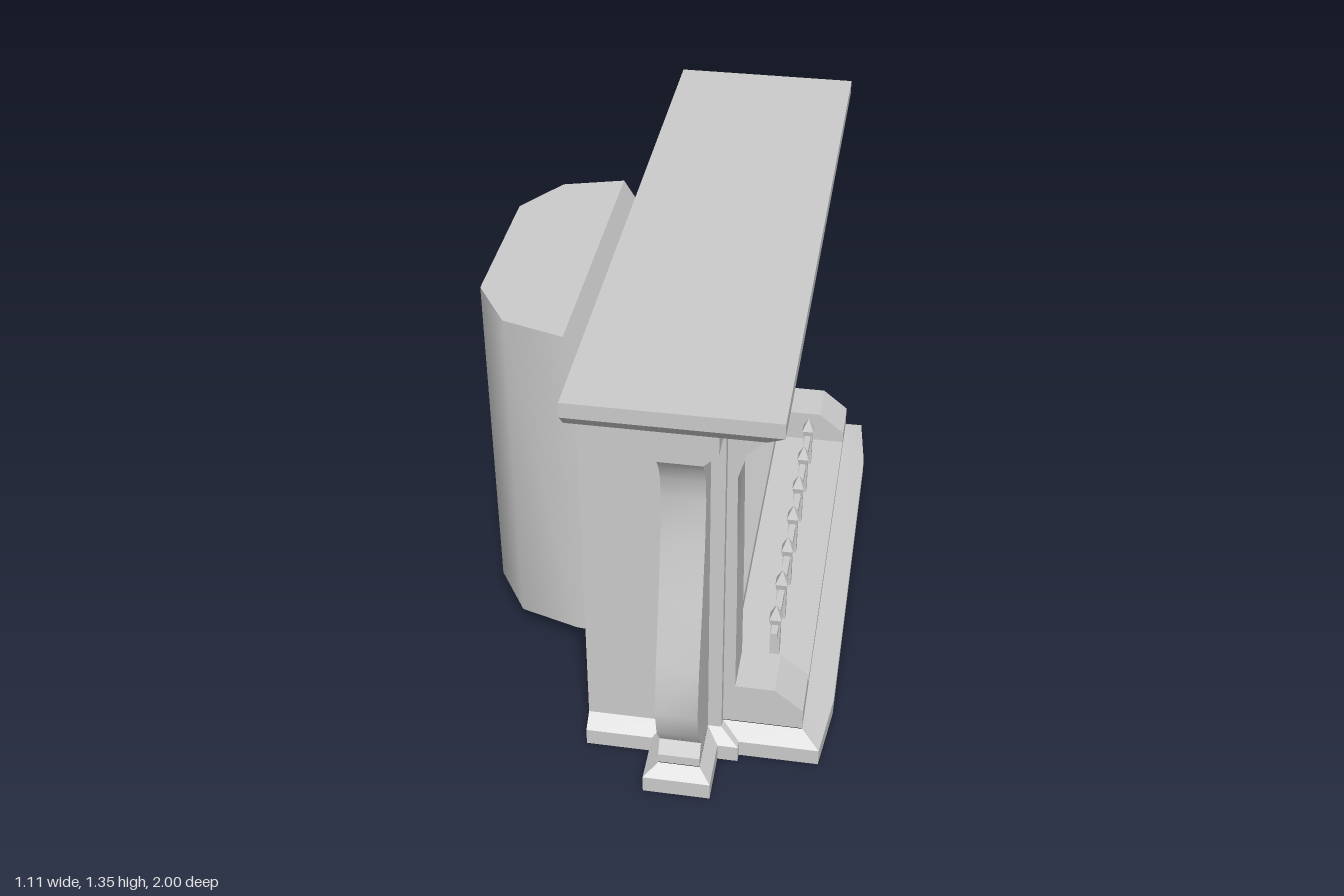
import * as THREE from 'three';
import { toCreasedNormals } from 'three/addons/utils/BufferGeometryUtils.js';

const material = new THREE.MeshStandardMaterial({ color: 0xcccccc, side: THREE.DoubleSide });

function add(parent, name, geometry) {
  const mesh = new THREE.Mesh(geometry, material);
  mesh.name = name;
  parent.add(mesh);
  return mesh;
}

// Box given by its limits
function box(x0, x1, y0, y1, z0, z1) {
  return new THREE.BoxGeometry(x1 - x0, y1 - y0, z1 - z0)
    .translate((x0 + x1) / 2, (y0 + y1) / 2, (z0 + z1) / 2);
}

// Skin between loops of [x, y, z] points; caps are fans, so convex loops only
function loft(loops, { closed = true, bottom = false, top = false, crease = 0.3 } = {}) {
  const pos = [];
  const tri = (a, b, c) => pos.push(...a, ...b, ...c);
  const n = loops[0].length;
  for (let k = 0; k < loops.length - 1; k++) {
    const [lo, hi] = [loops[k], loops[k + 1]];
    for (let i = 0; i < (closed ? n : n - 1); i++) {
      const j = (i + 1) % n;
      tri(lo[i], lo[j], hi[j]);
      tri(lo[i], hi[j], hi[i]);
    }
  }
  const last = loops[loops.length - 1];
  for (let i = 1; i < n - 1; i++) {
    if (bottom) tri(loops[0][0], loops[0][i + 1], loops[0][i]);
    if (top) tri(last[0], last[i], last[i + 1]);
  }
  const g = new THREE.BufferGeometry();
  g.setAttribute('position', new THREE.Float32BufferAttribute(pos, 3));
  g.computeVertexNormals();
  return toCreasedNormals(g, crease);
}

// Rectangle in plan at height y, counter-clockwise from above
const rect = (x0, x1, z0, z1, y) => [[x0, y, z1], [x1, y, z1], [x1, y, z0], [x0, y, z0]];
// Plan points [x, z] at height y
const level = (plan, y) => plan.map(([x, z]) => [x, y, z]);
// Half outline continued by its mirror image across z = 0
const mirrored = (half) => [...half, ...half.map(([a, b]) => [a, -b]).reverse()];

// Bracket: profile [outward, y] extruded over a width
function bracket(profile, width) {
  const shape = new THREE.Shape(profile.map(([u, v]) => new THREE.Vector2(u, v)));
  return toCreasedNormals(new THREE.ExtrudeGeometry(shape, { depth: width, bevelEnabled: false }), 0.5);
}

function createSide() {
  const side = new THREE.Group();

  // Thin wall folded around the corner post
  const wall = [[-0.157, 0.79], [0.24, 0.79], [0.24, 0.61]];
  add(side, 'sideWall', loft([level(wall, 0.085), level(wall, 1.255)], { closed: false }));

  // Front pilaster with its foot block and flared cap
  add(side, 'frontPilaster', bracket([
    [0.24, 0.09], [0.275, 0.09], [0.273, 0.6], [0.268, 1.0], [0.30, 1.11], [0.36, 1.16], [0.24, 1.16],
  ], 0.15).translate(0, 0, 0.61));
  add(side, 'pilasterFoot', bracket([
    [0.24, 0.09], [0.475, 0.09], [0.475, 0.16], [0.39, 0.23], [0.24, 0.23],
  ], 0.15).translate(0, 0, 0.61));
  add(side, 'frontCap', loft([
    rect(0.24, 0.36, 0.61, 0.76, 1.16), rect(0.24, 0.36, 0.57, 0.80, 1.2),
  ], { bottom: true, top: true }));

  // Curved side bracket with its flared cap
  add(side, 'sideBracket', bracket([
    [0.78, 0.09], [0.955, 0.09], [0.955, 0.12], [0.93, 0.16], [0.975, 0.23], [1.0, 0.33], [0.973, 0.49],
    [0.925, 0.68], [0.885, 0.86], [0.87, 1.0], [0.88, 1.07], [0.90, 1.12], [0.93, 1.16], [0.78, 1.16],
  ], 0.12).rotateY(-Math.PI / 2).translate(0.20, 0, 0));
  add(side, 'sideCap', loft([
    rect(0.08, 0.20, 0.79, 0.93, 1.16), rect(0.04, 0.24, 0.79, 0.93, 1.2), rect(0.04, 0.24, 0.79, 0.93, 1.255),
  ], { bottom: true, top: true }));
  return side;
}

export function createModel() {
  const model = new THREE.Group();
  model.name = 'fireplace';

  // Mantel shelf, bevelled below except along the back
  add(model, 'mantelShelf', loft([
    rect(-0.157, 0.36, -0.93, 0.93, 1.255),
    rect(-0.157, 0.408, -0.97, 0.97, 1.3),
    rect(-0.157, 0.408, -0.97, 0.97, 1.345),
  ], { bottom: true, top: true }));
  add(model, 'frieze', box(0.24, 0.36, 1.2, 1.255, -0.8, 0.8));

  // Both sides
  const left = createSide();
  left.name = 'leftSide';
  const right = createSide();
  right.name = 'rightSide';
  right.scale.z = -1;
  model.add(left, right);

  // Front panel with the arched opening, points as [y, z]
  const arch = [[0.16, 0.56], [0.9, 0.56], [0.98, 0.51], [1.08, 0.3], [1.115, 0]];
  const archLoop = [...arch, ...arch.slice(0, -1).map(([y, z]) => [y, -z]).reverse()];
  const panel = new THREE.Shape([[-0.61, 0.12], [0.61, 0.12], [0.61, 1.2], [-0.61, 1.2]]
    .map(([z, y]) => new THREE.Vector2(z, y)));
  panel.holes.push(new THREE.Path(archLoop.map(([y, z]) => new THREE.Vector2(z, y))));
  add(model, 'archPanel', new THREE.ShapeGeometry(panel).rotateY(Math.PI / 2).translate(0.24, 0, 0));

  // Splayed lining from the arch to the square mouth of the firebox
  add(model, 'archLining', loft([
    archLoop.map(([y, z]) => [0.24, y, z]),
    archLoop.map(([y, z]) => [0.13, y > 0.5 ? 0.94 : 0.1, THREE.MathUtils.clamp(z, -0.48, 0.48)]),
  ]));

  // Firebox: smooth wall, floor, low ceiling and sloped throat, open at the front
  const plan = mirrored([[0.13, 0.48], [-0.12, 0.468], [-0.265, 0.455], [-0.45, 0.4], [-0.555, 0.24]]);
  const rim = plan.map(([x, z]) => [x, x > -0.2 ? 0.94 : 1.19, z]);
  add(model, 'fireboxWall', loft([level(plan, 0.1), rim], { closed: false, crease: 0.8 }));
  add(model, 'fireboxFloor', loft([level(plan, 0.1)], { bottom: true }));
  add(model, 'fireboxTop', loft([rim.slice(2, -2)], { top: true }));
  add(model, 'fireboxThroat', loft([0, 1, 2].map((i) => [rim[i], rim[9 - i]]), { closed: false }));

  // Base moulding following the plan of the walls and brackets
  const lower = mirrored([[-0.157, 0.835], [0.04, 0.835], [0.04, 0.99], [0.235, 0.99], [0.235, 0.835],
    [0.295, 0.835], [0.295, 0.81], [0.53, 0.81], [0.555, 0.6]]);
  const upper = mirrored([[-0.157, 0.79], [0.08, 0.79], [0.08, 0.955], [0.2, 0.955], [0.2, 0.79],
    [0.24, 0.79], [0.24, 0.76], [0.475, 0.76], [0.475, 0.6]]);
  add(model, 'baseMoulding', loft([level(lower, 0), level(lower, 0.055), level(upper, 0.088)], { closed: false }));

  // Raised hearth plate, hollow underneath
  add(model, 'hearth', loft([
    rect(0.24, 0.475, -0.61, 0.61, 0.088), rect(0.24, 0.475, -0.61, 0.61, 0.12),
  ], { top: true }));

  // Fender: rail and spear-headed posts reaching through the hearth
  const fender = new THREE.Group();
  fender.name = 'fender';
  add(fender, 'rail', box(0.35, 0.37, 0.21, 0.24, -0.535, 0.535));
  const spear = [[0.017, 0.225], [0.027, 0.26], [0, 0.307]].map(([r, y]) => new THREE.Vector2(r, y));
  for (let i = -3; i <= 3; i++) {
    const z = i * 0.16;
    add(fender, 'post', box(0.345, 0.375, 0.04, 0.23, z - 0.015, z + 0.015));
    add(fender, 'spearHead', toCreasedNormals(
      new THREE.LatheGeometry(spear, 4).rotateY(Math.PI / 4), 0.3).translate(0.36, 0, z));
  }
  model.add(fender);
  return model;
}
